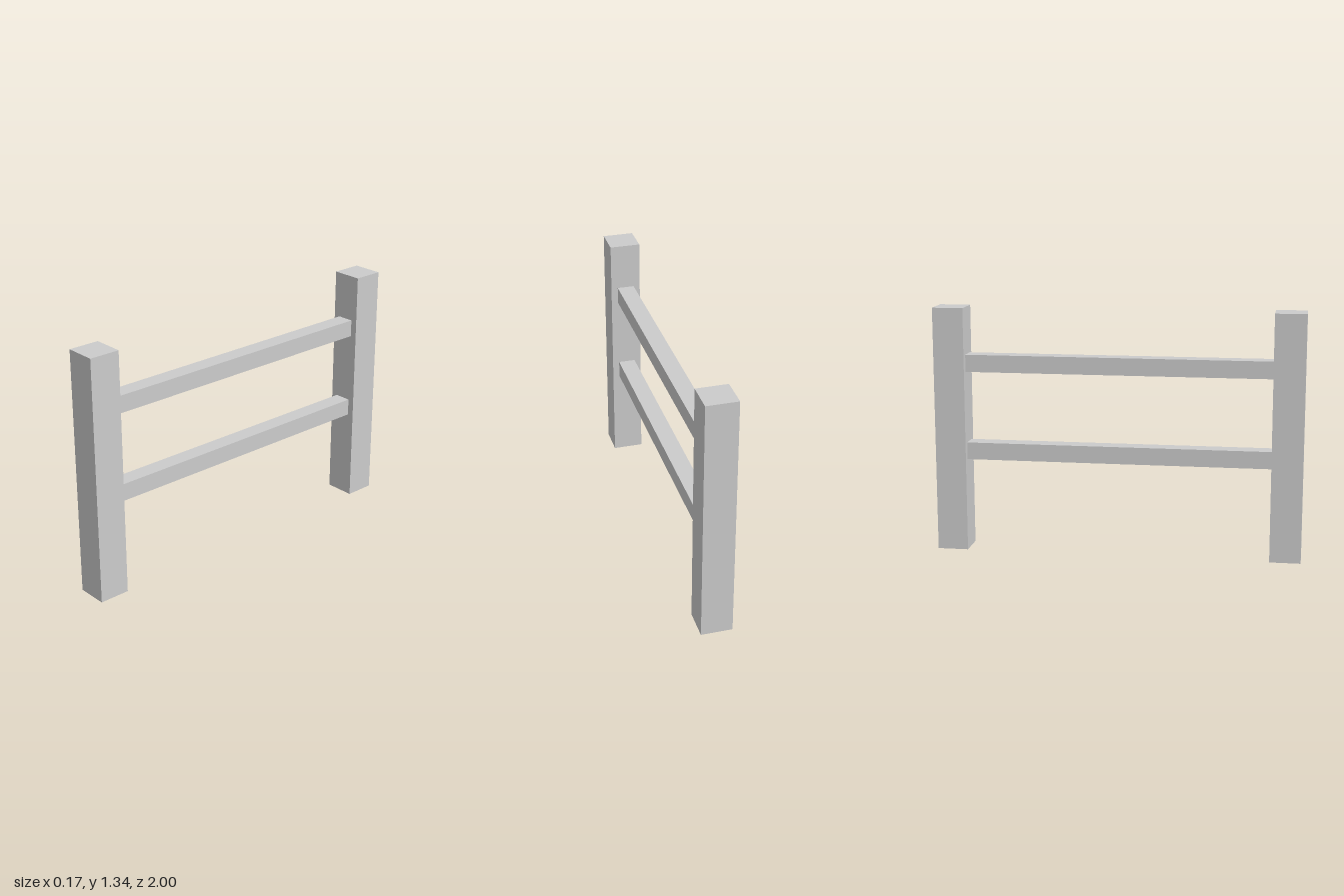
import * as THREE from 'three';

const POST_WIDTH = 0.168;
const POST_HEIGHT = 1.343;
const RAIL_SIZE = 0.094;
const RAIL_LENGTH = 2 - 2 * POST_WIDTH;

export function createModel() {
  const group = new THREE.Group();
  group.name = 'fenceSection';
  const material = new THREE.MeshStandardMaterial({ color: 0xcccccc, flatShading: true });

  function addBox(name, width, height, depth, y, z) {
    const mesh = new THREE.Mesh(new THREE.BoxGeometry(width, height, depth), material);
    mesh.name = name;
    mesh.position.set(0, y, z);
    group.add(mesh);
  }

  // Square posts at the front and back ends
  for (const [name, side] of [['frontPost', 1], ['backPost', -1]]) {
    addBox(name, POST_WIDTH, POST_HEIGHT, POST_WIDTH, POST_HEIGHT / 2, side * (1 - POST_WIDTH / 2));
  }

  // Horizontal rails spanning between the posts
  for (const [name, y] of [['lowerRail', 0.553], ['upperRail', 1.039]]) {
    addBox(name, RAIL_SIZE, RAIL_SIZE, RAIL_LENGTH, y, 0);
  }

  return group;
}
